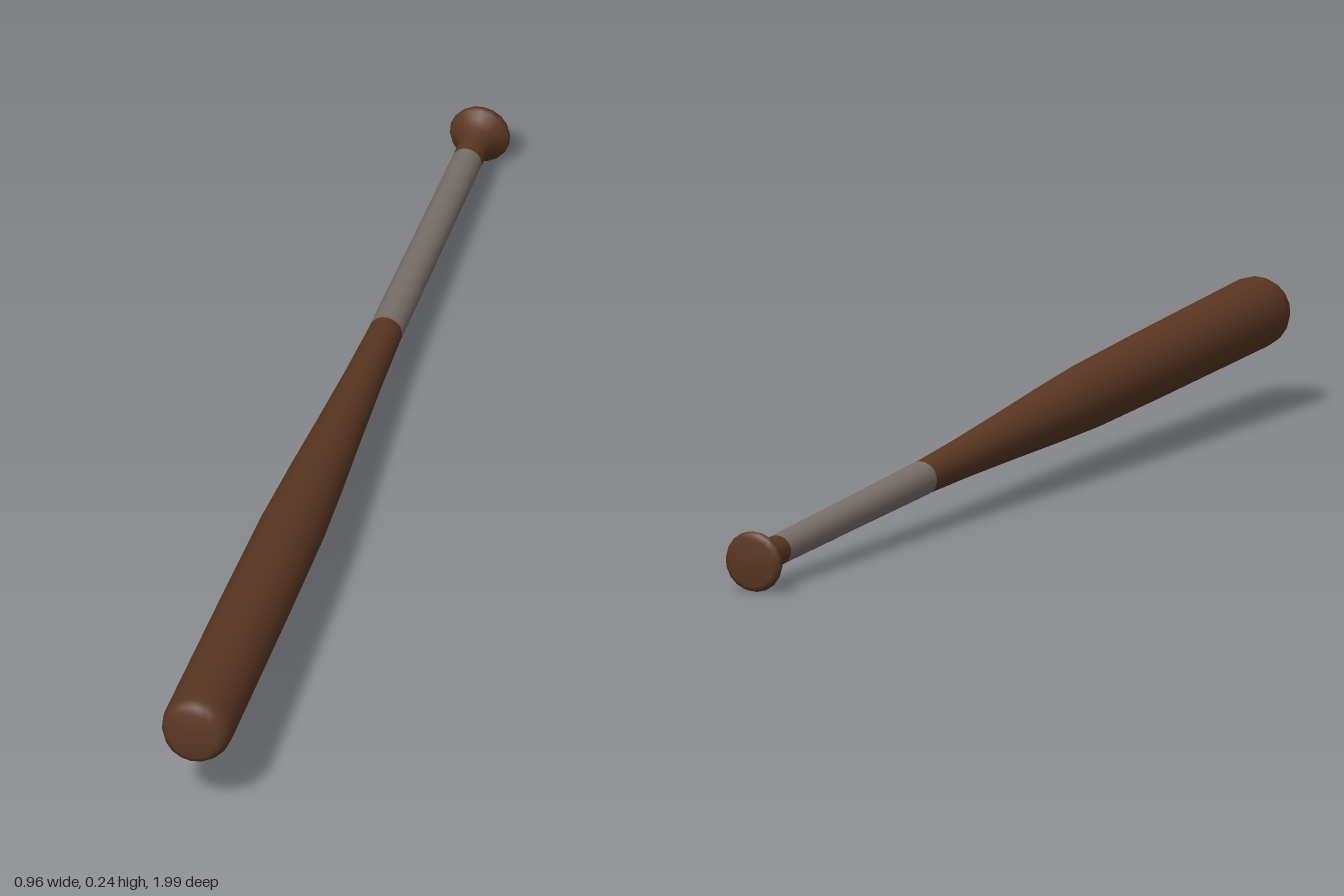
import * as THREE from 'three';

const wood = new THREE.MeshStandardMaterial({ color: 0x5a3722 });
wood.name = 'dark brown wood';
const tape = new THREE.MeshStandardMaterial({ color: 0x79716a });
tape.name = 'grey grip tape';

const SIDES = 18;

// Turn a profile of [radius, distance along the axis] pairs
function turned(name, profile, material) {
  const points = profile.map(([r, t]) => new THREE.Vector2(r, t));
  const mesh = new THREE.Mesh(new THREE.LatheGeometry(points, SIDES), material);
  mesh.name = name;
  return mesh;
}

export function createModel() {
  const group = new THREE.Group();
  group.name = 'bat';

  // Axis of the bat, from the middle of the knob to the middle of the barrel end
  const start = new THREE.Vector3(-0.437, 0.057, -0.977);
  const end = new THREE.Vector3(0.434, 0.18, 0.981);
  const length = start.distanceTo(end);

  const body = new THREE.Group();
  body.name = 'batBody';

  // Flared knob running into the bare end of the handle
  body.add(turned('knob', [
    [0, 0], [0.044, 0.001], [0.053, 0.006], [0.056, 0.014], [0.053, 0.022],
    [0.043, 0.032], [0.033, 0.05], [0.028, 0.072], [0.027, 0.12],
  ], wood));

  // Tape wrapped round the handle
  body.add(turned('grip', [
    [0.026, 0.112], [0.0275, 0.112], [0.029, 0.4], [0.0315, 0.713], [0.03, 0.713],
  ], tape));

  // Barrel swelling from the handle to a rounded end
  body.add(turned('barrel', [
    [0.0305, 0.71], [0.036, 0.88], [0.044, 1.06], [0.053, 1.24], [0.0595, 1.4],
    [0.0625, 1.65], [0.0655, length - 0.045], [0.0635, length - 0.026],
    [0.057, length - 0.01], [0.045, length - 0.001], [0, length],
  ], wood));

  // Lay the bat along its axis
  body.position.copy(start);
  body.quaternion.setFromUnitVectors(
    new THREE.Vector3(0, 1, 0),
    end.clone().sub(start).normalize(),
  );
  group.add(body);
  return group;
}
